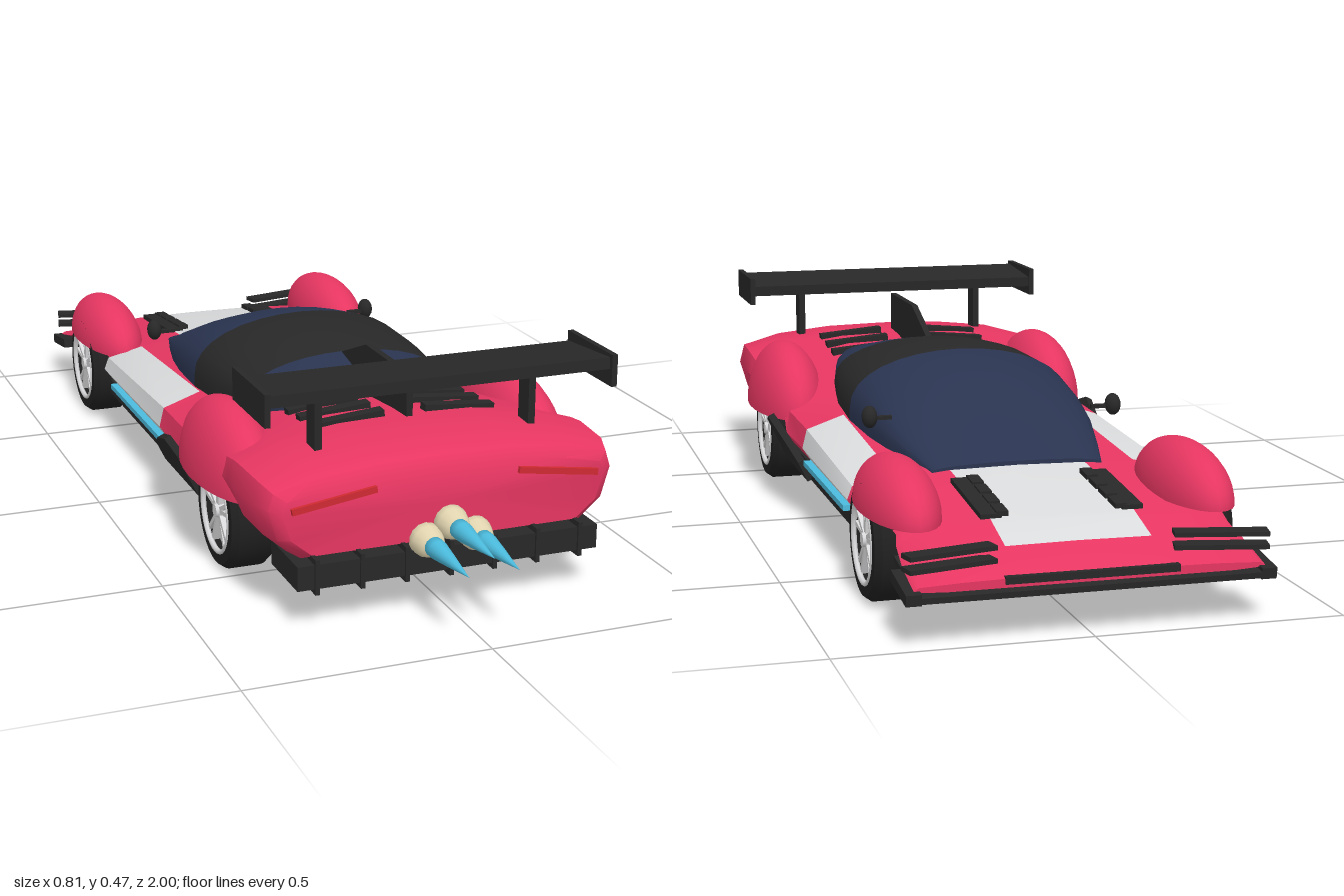
import * as THREE from 'three';
import { toCreasedNormals } from 'three/addons/utils/BufferGeometryUtils.js';

const mat = (name, color, side = THREE.FrontSide) => {
  const m = new THREE.MeshStandardMaterial({ color, side });
  m.name = name;
  return m;
};

export function createModel() {
  const car = new THREE.Group();
  car.name = 'sportsCar';
  const pink = mat('pinkPaint', 0xe63661, THREE.DoubleSide);
  const white = mat('whitePaint', 0xdadbdc);
  const black = mat('blackTrim', 0x282828);
  const tyreBlack = mat('tyreRubber', 0x202020);
  const glass = mat('navyGlass', 0x2a3450);
  const silver = mat('rimSilver', 0xd8d8da);
  const cyan = mat('cyanGlow', 0x4cbcde);
  const beige = mat('nozzleBeige', 0xe2d5b0);
  const red = mat('tailLightRed', 0xd02a32);

  const add = (name, geo, material, parent = car) => {
    const mesh = new THREE.Mesh(geo, material);
    mesh.name = name;
    parent.add(mesh);
    return mesh;
  };
  const box = (name, w, h, d, x, y, z, material = black, parent = car) => {
    const mesh = add(name, new THREE.BoxGeometry(w, h, d), material, parent);
    mesh.position.set(x, y, z);
    return mesh;
  };
  // flat plate drawn in (z, y) and given thickness along x
  const sidePlate = (name, pts, thick) => {
    const shape = new THREE.Shape(pts.map(p => new THREE.Vector2(p[0], p[1])));
    const geo = new THREE.ExtrudeGeometry(shape, { depth: thick, bevelEnabled: false });
    geo.rotateY(-Math.PI / 2).translate(thick / 2, 0, 0);
    return add(name, geo, black);
  };
  // mirrored loft: each section is { z, half: [[x, y] bottom centre to top centre] }
  const loft = (sections, materialCount, pick, crease) => {
    const n = sections[0].half.length - 1, m = 2 * n;
    const rings = sections.map(s => Array.from({ length: m }, (_, j) => {
      const [x, y] = s.half[j <= n ? j : m - j];
      return [j <= n ? x : -x, y, s.z];
    }));
    const lists = Array.from({ length: materialCount }, () => []);
    for (let i = 0; i < rings.length - 1; i++) for (let j = 0; j < m; j++) {
      const k = (j + 1) % m, [a, b, c, d] = [rings[i][j], rings[i][k], rings[i + 1][k], rings[i + 1][j]];
      lists[pick(i, j < n ? j : m - 1 - j)].push(...a, ...b, ...c, ...a, ...c, ...d);
    }
    [0, rings.length - 1].forEach(i => {
      const r = rings[i], mid = [0, (r[0][1] + r[n][1]) / 2, r[0][2]];
      for (let j = 0; j < m; j++) {
        const p = r[j], q = r[(j + 1) % m];
        lists[0].push(...mid, ...(i ? p : q), ...(i ? q : p));
      }
    });
    const geo = new THREE.BufferGeometry();
    geo.setAttribute('position', new THREE.Float32BufferAttribute(lists.flat(), 3));
    let start = 0;
    lists.forEach((l, i) => { geo.addGroup(start, l.length / 3, i); start += l.length / 3; });
    return toCreasedNormals(geo, crease);
  };

  // body shell: z, half width, bottom, waist, shoulder, crown
  const lerp = THREE.MathUtils.lerp;
  const body = [
    [-0.985, 0.342, 0.104, 0.11, 0.116, 0.122], [-0.9, 0.342, 0.118, 0.13, 0.141, 0.16],
    [-0.82, 0.335, 0.13, 0.152, 0.16, 0.182], [-0.8, 0.33, 0.16, 0.168, 0.174, 0.187],
    [-0.5, 0.33, 0.16, 0.175, 0.187, 0.218], [-0.48, 0.355, 0.12, 0.16, 0.188, 0.222],
    [0, 0.355, 0.12, 0.165, 0.208, 0.257], [0.18, 0.358, 0.12, 0.165, 0.212, 0.27],
    [0.2, 0.358, 0.18, 0.196, 0.215, 0.275], [0.4, 0.368, 0.185, 0.212, 0.245, 0.32],
    [0.52, 0.379, 0.185, 0.235, 0.273, 0.332], [0.58, 0.384, 0.165, 0.242, 0.286, 0.335],
    [0.62, 0.385, 0.142, 0.243, 0.29, 0.336], [0.72, 0.379, 0.136, 0.243, 0.287, 0.33],
    [0.765, 0.365, 0.138, 0.242, 0.276, 0.315], [0.783, 0.342, 0.146, 0.238, 0.262, 0.293],
  ].map(([z, w, yb, ym, ys, yc]) => ({
    z, half: [[0, yb], [w * 0.82, yb], [w * 0.95, lerp(yb, ym, 0.4)], [w, ym], [w * 0.97, ys],
      [w * 0.73, lerp(ys, yc, 0.6)], [0.145, lerp(ys, yc, 0.92)], [0, yc]],
  }));
  add('bodyShell', loft(body, 2, (i, k) => {
    const hood = k === 6 && i >= 1 && i <= 3;
    const sill = k >= 1 && k <= 4 && i === 5;
    return hood || sill ? 1 : 0;
  }, 0.75), [pink, white]);

  // canopy: z, half width, base, top
  const canopy = [
    [-0.505, 0.182, 0.213, 0.226], [-0.4, 0.21, 0.226, 0.277], [-0.3, 0.232, 0.237, 0.32],
    [-0.2, 0.246, 0.246, 0.355], [-0.05, 0.256, 0.256, 0.386], [0.1, 0.25, 0.262, 0.385],
    [0.23, 0.231, 0.276, 0.371], [0.32, 0.208, 0.294, 0.354], [0.375, 0.18, 0.309, 0.341], [0.405, 0.13, 0.32, 0.331],
  ].map(([z, w, y0, y1]) => ({
    z, half: [[0, y0 - 0.03], [w, y0 - 0.03], ...Array.from({ length: 9 }, (_, k) => {
      const t = k / 8 * Math.PI / 2;
      return [w * Math.cos(t), y0 + (y1 - y0) * Math.sin(t) ** 0.85];
    })],
  }));
  add('canopy', loft(canopy, 2, i => (i === 4 || i === 5 ? 1 : 0), 0.7), [glass, black]);

  // floor, splitter, nose grille and diffuser
  box('floor', 0.67, 0.035, 0.75, 0, 0.107, -0.125);
  box('splitter', 0.67, 0.012, 0.2, 0, 0.108, -0.9).rotation.x = -0.14;
  box('noseGrille', 0.34, 0.014, 0.02, 0, 0.118, -0.98);
  box('diffuser', 0.64, 0.05, 0.15, 0, 0.112, 0.73);
  for (let i = -3; i <= 3; i++) box('diffuserBlade', 0.009, 0.072, 0.16, i * 0.0935, 0.112, 0.73);

  // centre fin and rear wing
  sidePlate('fin', [[0.225, 0.368], [0.37, 0.425], [0.59, 0.425], [0.59, 0.32], [0.3, 0.32]], 0.014);
  box('wing', 0.72, 0.024, 0.175, 0, 0.45, 0.67).rotation.x = -0.08;

  // wheel with five split spokes, outer face towards +x
  const tyreProfile = [[0.088, -0.048], [0.112, -0.048], [0.122, -0.034], [0.122, 0.034], [0.112, 0.048], [0.09, 0.048], [0.087, 0.02]]
    .map(p => new THREE.Vector2(p[0], p[1]));
  const makeWheel = (x, z) => {
    const wheel = new THREE.Group();
    wheel.name = 'wheel';
    const tyre = new THREE.LatheGeometry(tyreProfile, 32).rotateZ(-Math.PI / 2);
    add('tyre', toCreasedNormals(tyre, 0.5), tyreBlack, wheel);
    const rim = new THREE.CylinderGeometry(0.089, 0.089, 0.07, 32).rotateZ(-Math.PI / 2);
    add('rimDisc', rim, silver, wheel).position.x = -0.01;
    add('rimLip', new THREE.TorusGeometry(0.087, 0.006, 6, 32).rotateY(Math.PI / 2), silver, wheel).position.x = 0.045;
    add('hub', new THREE.CylinderGeometry(0.014, 0.018, 0.025, 12).rotateZ(-Math.PI / 2), silver, wheel).position.x = 0.036;
    for (let i = 0; i < 10; i++) {
      const a = Math.floor(i / 2) * Math.PI * 0.4 + (i % 2 ? 0.16 : -0.16);
      const spoke = box('spoke', 0.016, 0.078, 0.009, 0.034, Math.cos(a) * 0.047, Math.sin(a) * 0.047, silver, wheel);
      spoke.rotation.x = a;
    }
    wheel.position.set(x, 0.124, z);
    if (x < 0) wheel.rotation.y = Math.PI;
    car.add(wheel);
  };
  // open half-ellipsoid over a wheel
  const makeFender = (name, x, y, z, rx, ry, rz) => {
    const dome = new THREE.SphereGeometry(1, 28, 10, 0, Math.PI * 2, 0, Math.PI / 2);
    add(name, dome.scale(rx, ry, rz), pink).position.set(x, y, z);
  };

  for (const s of [1, -1]) {
    makeWheel(s * 0.317, -0.66);
    makeWheel(s * 0.318, 0.435);
    makeFender('frontFender', s * 0.298, 0.186, -0.67, 0.077, 0.104, 0.197);
    makeFender('rearFender', s * 0.32, 0.19, 0.392, 0.087, 0.156, 0.214);
    // side skirt blade leaning outwards, and glow strip
    const skirt = sidePlate('sideSkirt', [[0.25, 0], [0.25, 0.108], [0.19, 0.13], [0.08, 0.092], [0, 0.05], [0, 0]], 0.016);
    skirt.position.set(s * 0.336, 0.09, 0);
    skirt.rotation.z = -s * 0.45;
    box('glowStrip', 0.02, 0.012, 0.43, s * 0.343, 0.13, -0.215, cyan);
    // nose corners and canards
    box('splitterCorner', 0.03, 0.022, 0.12, s * 0.345, 0.105, -0.94).rotation.x = -0.14;
    for (const y of [0.145, 0.17]) {
      const canard = box('canard', 0.18, 0.009, 0.038, s * 0.265, y, -0.95);
      canard.rotation.y = s * 0.22;
    }
    // hood vents with notched slats
    const vent = box('hoodVent', 0.042, 0.012, 0.22, s * 0.143, 0.2, -0.69);
    vent.rotation.x = -0.1;
    for (let i = 0; i < 4; i++) box('ventSlat', 0.024, 0.01, 0.046, s * 0.12, 0.196 + i * 0.006, -0.775 + i * 0.057).rotation.x = -0.1;
    // deck louvres
    [[0.41, 0.316], [0.48, 0.324], [0.555, 0.331]].forEach(([z, y]) => {
      box('louvre', 0.155, 0.018, 0.026, s * 0.122, y, z).rotation.z = -s * 0.09;
    });
    // wing supports and end plates
    box('wingStrut', 0.015, 0.14, 0.045, s * 0.23, 0.372, 0.655);
    box('wingEndPlate', 0.012, 0.066, 0.19, s * 0.365, 0.443, 0.672);
    // mirror
    box('mirrorStalk', 0.045, 0.008, 0.012, s * 0.245, 0.292, -0.315);
    add('mirror', new THREE.SphereGeometry(1, 12, 8).scale(0.017, 0.024, 0.022), black).position.set(s * 0.271, 0.296, -0.32);
    // tail light
    box('tailLight', 0.176, 0.013, 0.024, s * 0.238, 0.256, 0.779, red).rotation.z = -s * 0.145;
  }

  // exhaust nozzles and flames
  const lathe = pts => new THREE.LatheGeometry(pts.map(p => new THREE.Vector2(p[0], p[1])), 14).rotateX(Math.PI / 2);
  for (const [x, y] of [[0, 0.185], [0.052, 0.155], [-0.052, 0.155]]) {
    add('exhaustCollar', new THREE.CylinderGeometry(0.02, 0.02, 0.04, 14).rotateX(Math.PI / 2), silver).position.set(x, y, 0.775);
    add('nozzle', lathe([[0, 0.78], [0.025, 0.784], [0.035, 0.797], [0.033, 0.812], [0.024, 0.838], [0, 0.842]]), beige).position.set(x, y, 0);
    add('flame', lathe([[0, 0.83], [0.02, 0.835], [0.02, 0.86], [0.012, 0.92], [0, 1]]), cyan).position.set(x, y, 0);
  }
  return car;
}
